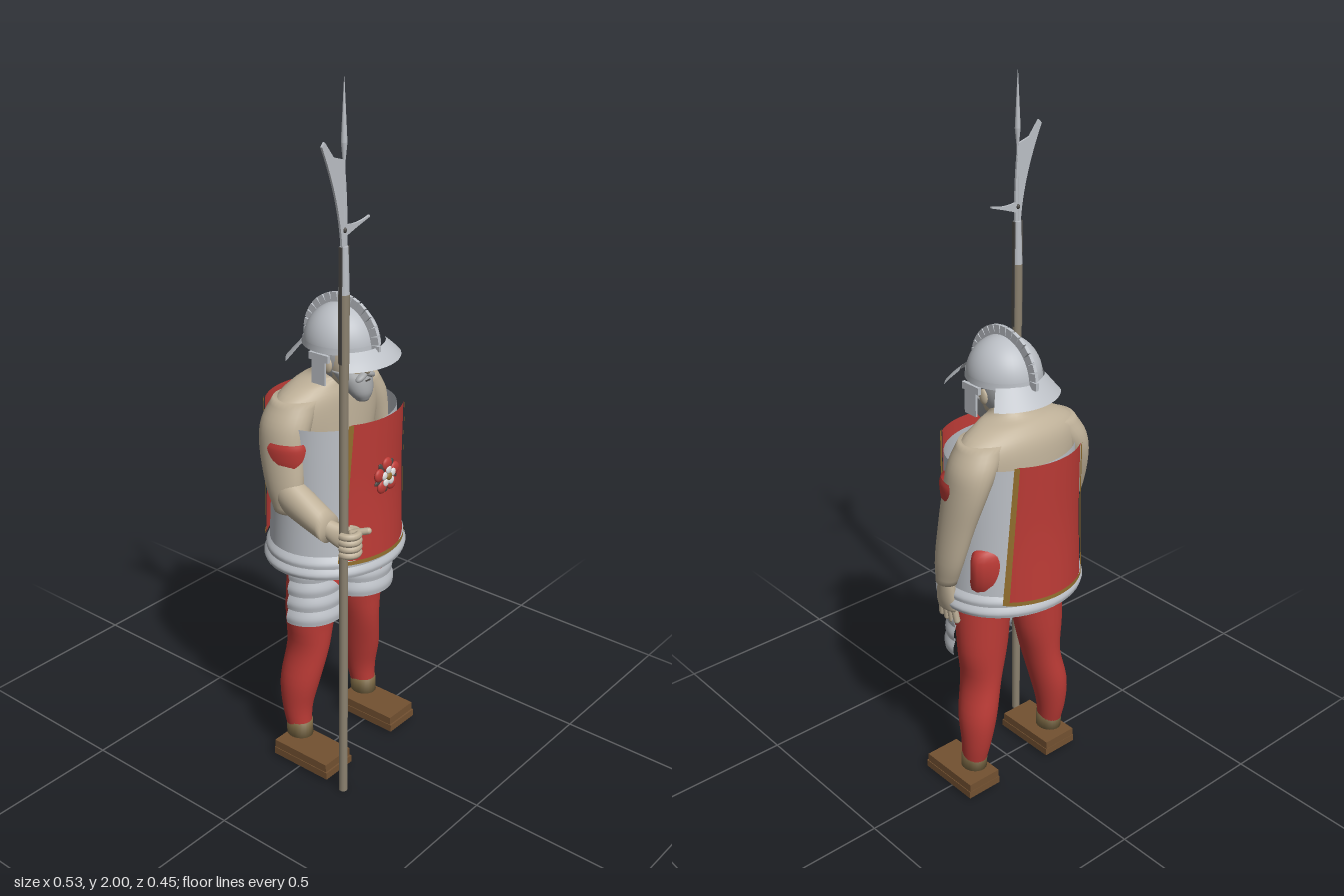
import * as THREE from 'three';

const mat = (name, color, side = THREE.FrontSide) => {
  const m = new THREE.MeshStandardMaterial({ color, side });
  m.name = name;
  return m;
};
const CX = 0.015; // body centre line
const V = (x, y, z) => new THREE.Vector3(x, y, z);

// Skin through elliptical sections [x, y, z, rx, rz, halfAngle], rising in y.
// With arc = [mid, lo, hi] it becomes an open curved plate.
function loft(sections, { arc = null, smooth = 4, cap = !arc, seg = 28 } = {}) {
  let rows = sections.map((s) => [s[0], s[1], s[2], s[3], s[4], s[5] ?? Math.PI]);
  if (smooth > 1) {
    const p = new THREE.CatmullRomCurve3(rows.map((s) => V(s[0], s[1], s[2])), false, 'catmullrom');
    const r = new THREE.CatmullRomCurve3(rows.map((s) => V(s[3], s[4], s[5])), false, 'catmullrom');
    const n = (rows.length - 1) * smooth;
    rows = Array.from({ length: n + 1 }, (_, i) => [...p.getPoint(i / n), ...r.getPoint(i / n)]);
  }
  if (cap) {
    const f = rows[0], l = rows[rows.length - 1];
    rows = [[f[0], f[1], f[2], 1e-4, 1e-4, f[5]], ...rows, [l[0], l[1], l[2], 1e-4, 1e-4, l[5]]];
  }
  const w = arc ? seg + 1 : seg, pos = [], idx = [];
  rows.forEach(([x, y, z, rx, rz, h], i) => {
    for (let j = 0; j < w; j++) {
      const t = j / seg;
      const a = arc ? arc[0] + h * (arc[1] + (arc[2] - arc[1]) * t) : t * Math.PI * 2;
      pos.push(x + Math.cos(a) * rx, y, z + Math.sin(a) * rz);
      if (i === rows.length - 1 || j === seg) continue;
      const k = arc ? j + 1 : (j + 1) % seg;
      const A = i * w + j, B = i * w + k;
      idx.push(A, A + w, B, B, A + w, B + w);
    }
  });
  const g = new THREE.BufferGeometry();
  g.setAttribute('position', new THREE.Float32BufferAttribute(pos, 3));
  g.setIndex(idx);
  g.computeVertexNormals();
  return g;
}

export function createModel() {
  const D = THREE.DoubleSide;
  const skin = mat('skin', 0xbfb199), steel = mat('steel', 0xbcc0c6, D), red = mat('red cloth', 0xbc3b36, D);
  const leather = mat('brown leather', 0x735131), gold = mat('gold trim', 0x94702e, D), wood = mat('wood', 0x8c8270);
  const olive = mat('olive cuff', 0x7d6a45), hair = mat('grey hair', 0xa2a4a6);
  const dark = mat('dark', 0x4a4845), white = mat('white', 0xdedede);
  const root = new THREE.Group();
  const add = (name, geo, m, p = [0, 0, 0], s = [1, 1, 1], r = [0, 0, 0]) => {
    const o = new THREE.Mesh(geo, m);
    o.name = name;
    o.position.set(...p); o.scale.set(...s); o.rotation.set(...r);
    root.add(o);
    return o;
  };
  const ball = new THREE.SphereGeometry(1, 24, 16);
  const box = new THREE.BoxGeometry(1, 1, 1);
  const F = Math.PI / 2, B = -Math.PI / 2;

  // Bare shoulders, neck and hips
  add('torso', loft([[CX, 0.78, -0.05, 0.14, 0.1], [CX, 0.95, -0.06, 0.165, 0.1], [CX, 1.06, -0.062, 0.2, 0.095],
    [CX, 1.12, -0.06, 0.19, 0.087], [CX, 1.155, -0.053, 0.13, 0.07], [CX, 1.172, -0.04, 0.068, 0.057],
    [CX, 1.2, -0.025, 0.05, 0.05]]), skin);
  add('hips', loft([[CX, 0.6, -0.05, 0.1, 0.06], [CX + 0.008, 0.68, -0.075, 0.165, 0.075], [CX + 0.017, 0.75, -0.1, 0.178, 0.062],
    [CX + 0.017, 0.82, -0.102, 0.175, 0.058], [CX + 0.01, 0.853, -0.09, 0.13, 0.05]]), red);

  // Legs, cuffs, shoes and thigh guards
  for (const s of [-1, 1]) {
    const side = s > 0 ? 'left' : 'right', X = (d) => CX + s * d;
    add(side + 'Leg', loft([[X(0.148), 0.09, -0.04, 0.032, 0.036], [X(0.146), 0.17, -0.05, 0.042, 0.046],
      [X(0.137), 0.26, -0.046, 0.052, 0.061], [X(0.114), 0.37, -0.034, 0.054, 0.066], [X(0.105), 0.48, -0.032, 0.074, 0.07],
      [X(0.094), 0.61, -0.024, 0.076, 0.082], [X(0.08), 0.68, -0.045, 0.06, 0.07]]), red);
    add(side + 'Cuff', loft([[X(0.148), 0.078, -0.04, 0.036, 0.04], [X(0.147), 0.125, -0.042, 0.036, 0.04]], { smooth: 1 }), olive);
    add(side + 'Sole', box, leather, [X(0.15), 0.02, 0.01], [0.112, 0.022, 0.2]);
    add(side + 'Shoe', box, leather, [X(0.15), 0.042, 0.008], [0.108, 0.026, 0.194]);
    for (let k = 0; k < 4; k++) {
      const y = 0.48 + k * 0.044, r = 0.1 - k * 0.003;
      add(side + 'ThighGuard', loft([[X(0.108), y, -0.022, r, r - 0.01, F], [X(0.108), y + 0.022, -0.022, r + 0.002, r - 0.008, F],
        [X(0.108), y + 0.05, -0.022, r - 0.008, r - 0.018, F]], { arc: [F, -1.06, 1.06] }), steel);
    }
    // Ragged cloth patch over the upper thigh guard
    add(side + 'ThighCloth', loft([[X(0.085), 0.565, -0.02, 0.09, 0.094, 0.05], [X(0.085), 0.6, -0.02, 0.094, 0.094, 0.28],
      [X(0.078), 0.625, -0.02, 0.094, 0.092, 0.6], [X(0.074), 0.65, -0.02, 0.094, 0.09, 0.65]], { arc: [F, -1, 1] }), red);
  }

  // Steel cuirass with an inner ledge and a flared double hem
  add('cuirass', loft([[CX, 0.66, -0.03, 0.202, 0.172], [CX, 0.85, -0.03, 0.194, 0.163], [CX, 1.07, -0.03, 0.192, 0.155]],
    { cap: false, seg: 48 }), steel);
  add('cuirassLedge', loft([[CX, 0.86, -0.03, 0.193, 0.162], [CX, 0.9, -0.05, 0.14, 0.09]], { cap: false, smooth: 1, seg: 48 }), steel);
  add('lowerHem', loft([[CX, 0.64, -0.028, 0.216, 0.184], [CX, 0.655, -0.028, 0.22, 0.186], [CX, 0.678, -0.028, 0.204, 0.174]],
    { cap: false, seg: 48 }), steel);
  add('upperHem', loft([[CX, 0.67, -0.028, 0.212, 0.18], [CX, 0.685, -0.028, 0.212, 0.18], [CX, 0.705, -0.028, 0.196, 0.167]],
    { cap: false, seg: 48 }), steel);

  // Red front and back plates edged in gold
  for (const [name, mid, rz] of [['front', F, 0.184], ['back', B, 0.19]]) {
    const rows = (d) => [[CX, 0.68, -0.03, 0.2 + d, rz + d, 0.75], [CX, 0.88, -0.03, 0.197 + d, rz - 0.006 + d, 0.67],
      [CX, 1.09, -0.03, 0.193 + d, rz + d, 0.62]];
    add(name + 'Plate', loft(rows(0), { arc: [mid, -1, 1] }), red);
    for (const e of [-1, 1]) {
      add(name + 'PlateTrim', loft(rows(0.004), { arc: [mid, e - 0.06, e + 0.06], seg: 4 }), gold);
    }
    add(name + 'PlateHem', loft([[CX, 0.678, -0.03, 0.204, rz + 0.004, 0.75], [CX, 0.69, -0.03, 0.204, rz + 0.004, 0.75]],
      { arc: [mid, -1, 1], smooth: 1 }), gold);
  }

  // Flower boss on the chest
  for (let i = 0; i < 5; i++) {
    const a = F + i * Math.PI * 0.4, c = Math.cos(a), s = Math.sin(a);
    add('flowerLeaf', ball, dark, [CX - c * 0.03, 0.915 - s * 0.03, 0.149], [0.009, 0.02, 0.005], [0, 0, a + F]);
    add('flowerPetal', ball, red, [CX + c * 0.034, 0.915 + s * 0.034, 0.152], [0.019, 0.019, 0.009]);
    add('innerPetal', ball, white, [CX + c * 0.019, 0.915 + s * 0.019, 0.159], [0.0115, 0.0115, 0.005]);
  }
  add('flowerCentre', ball, gold, [CX, 0.915, 0.161], [0.011, 0.011, 0.006]);

  // Hanging left arm and hand
  add('leftArm', loft([[0.229, 0.715, -0.012, 0.027, 0.033], [0.23, 0.79, -0.028, 0.032, 0.048], [0.216, 0.9, -0.045, 0.04, 0.06],
    [0.197, 1.0, -0.06, 0.05, 0.072], [0.173, 1.07, -0.064, 0.062, 0.075], [0.135, 1.13, -0.06, 0.065, 0.065]]), skin);
  add('leftHand', loft([[0.22, 0.625, -0.003, 0.014, 0.036], [0.224, 0.66, -0.005, 0.018, 0.037], [0.229, 0.725, -0.012, 0.02, 0.026]]), skin);
  const finger = new THREE.CapsuleGeometry(0.0095, 0.045, 4, 10);
  for (let i = 0; i < 4; i++) {
    add('leftFinger', finger, skin, [0.216, 0.608 + Math.abs(i - 1.5) * 0.005, 0.025 - i * 0.019], [1, 1, 1], [(1.5 - i) * -0.08, 0, -0.12]);
  }
  add('leftThumb', finger, skin, [0.205, 0.655, 0.03], [1, 1, 1], [-0.4, 0, -0.3]);

  // Right arm bent forward, hand closed round the shaft
  add('rightUpperArm', loft([[-0.183, 0.83, -0.03, 0.034, 0.04], [-0.183, 0.9, -0.04, 0.04, 0.06],
    [-0.166, 1.0, -0.06, 0.05, 0.072], [-0.143, 1.07, -0.064, 0.062, 0.075], [-0.105, 1.13, -0.06, 0.065, 0.065]]), skin);
  add('rightForearm', loft([[-0.183, -0.06, -0.89, 0.028, 0.045], [-0.184, -0.02, -0.88, 0.04, 0.058],
    [-0.184, 0.05, -0.85, 0.041, 0.05], [-0.182, 0.115, -0.82, 0.04, 0.04]]), skin, [0, 0, 0], [1, 1, 1], [F, 0, 0]);
  add('rightHand', loft([[-0.18, 0.1, -0.82, 0.022, 0.026], [-0.168, 0.14, -0.8, 0.022, 0.034],
    [-0.155, 0.175, -0.795, 0.015, 0.036]]), skin, [0, 0, 0], [1, 1, 1], [F, 0, 0]);
  const grip = new THREE.TorusGeometry(0.026, 0.0105, 8, 16, Math.PI * 1.25);
  for (let i = 0; i < 4; i++) add('rightFinger', grip, skin, [-0.172, 0.768 + i * 0.018, 0.174], [1, 1, 1], [F, 0, -0.6]);
  add('rightThumb', finger, skin, [-0.152, 0.825, 0.195], [1, 1, 1], [1.3, 0, -0.5]);

  // Torn red cloth showing at the front of the upper arms
  for (const s of [-1, 1]) {
    add('armCloth', loft([[CX + s * 0.182, 0.965, -0.06, 0.05, 0.08, 0.2], [CX + s * 0.182, 0.985, -0.06, 0.054, 0.083, 0.6],
      [CX + s * 0.182, 1.015, -0.06, 0.056, 0.084, 0.8], [CX + s * 0.18, 1.032, -0.06, 0.054, 0.08, 0.7]],
    { arc: [s > 0 ? 0.75 : Math.PI - 0.75, -1, 1], smooth: 3 }), red);
  }

  // Head, hair, beard and features
  add('head', ball, skin, [CX, 1.225, 0.012], [0.06, 0.088, 0.068]);
  add('hair', ball, hair, [CX, 1.232, -0.01], [0.066, 0.085, 0.068]);
  add('beard', loft([[CX, 1.115, 0.066, 0.018, 0.018], [CX, 1.14, 0.058, 0.037, 0.034], [CX, 1.175, 0.038, 0.052, 0.047],
    [CX, 1.2, 0.02, 0.06, 0.05]]), hair);
  add('nose', ball, skin, [CX, 1.212, 0.08], [0.011, 0.022, 0.015]);
  add('mouth', box, dark, [CX, 1.174, 0.083], [0.018, 0.004, 0.006]);
  for (const s of [-1, 1]) {
    add('moustache', ball, hair, [CX + s * 0.017, 1.186, 0.076], [0.022, 0.009, 0.012], [0, 0, -s * 0.4]);
    add('eye', ball, dark, [CX + s * 0.022, 1.23, 0.072], [0.009, 0.005, 0.005]);
    add('eyebrow', ball, hair, [CX + s * 0.023, 1.243, 0.073], [0.018, 0.005, 0.007], [0, 0, s * 0.15]);
    add('ear', ball, skin, [CX + s * 0.066, 1.215, 0.0], [0.008, 0.022, 0.015]);
  }

  // Helmet: bowl, band, crest, visor, neck guard and cheek plates
  add('helmetBowl', new THREE.SphereGeometry(1, 40, 16, 0, Math.PI * 2, 0, F), steel, [CX, 1.265, -0.006], [0.1, 0.108, 0.105]);
  add('helmetBand', loft([[CX, 1.26, -0.006, 0.102, 0.107], [CX, 1.278, -0.006, 0.101, 0.106]], { smooth: 1, cap: false, seg: 40 }), steel);
  for (let i = 0; i <= 16; i++) {
    const a = (i / 16) * Math.PI;
    add('crestBlock', box, steel, [CX, 1.267 + Math.sin(a) * 0.117, -0.006 + Math.cos(a) * 0.116], [0.01, 0.021, 0.028], [Math.PI - a, 0, 0]);
  }
  add('visor', loft([[CX, 1.232, 0, 0.155, 0.155, 0.86], [CX, 1.25, 0, 0.138, 0.138, 0.86], [CX, 1.272, 0, 0.113, 0.113, 0.86]],
    { arc: [F, -1, 1] }), steel);
  add('neckGuard', loft([[CX, 1.217, 0, 0.155, 0.155, 0.86], [CX, 1.24, 0, 0.135, 0.135, 0.87], [CX, 1.268, 0, 0.111, 0.111, 0.88]],
    { arc: [B, -1, 1] }), steel);
  for (const s of [-1, 1]) {
    add('cheekHinge', box, steel, [CX + s * 0.104, 1.25, 0.004], [0.01, 0.02, 0.066]);
    add('cheekPlate', box, steel, [CX + s * 0.106, 1.21, 0.004], [0.006, 0.07, 0.045]);
  }

  // Polearm: shaft, socket, spike, blade and hook
  const PX = -0.183, PZ = 0.165;
  const rod = (name, y0, y1, rTop, rBot, m) =>
    add(name, new THREE.CylinderGeometry(rTop, rBot, y1 - y0, 12), m, [PX, (y0 + y1) / 2, PZ]);
  rod('shaft', 0, 1.32, 0.0125, 0.0125, wood);
  rod('upperShaft', 1.3, 1.48, 0.0145, 0.0145, wood);
  rod('socket', 1.48, 1.6, 0.011, 0.0145, steel);
  for (const s of [-1, 1]) add('langet', box, dark, [PX + s * 0.0135, 1.45, PZ], [0.004, 0.3, 0.01]);
  rod('spikeNeck', 1.6, 1.82, 0.003, 0.004, steel);
  rod('spikeBase', 1.81, 1.85, 0.008, 0.004, steel);
  rod('spike', 1.85, 2.0, 0.0006, 0.008, steel);
  add('collar', ball, dark, [PX, 1.64, PZ], [0.006, 0.008, 0.008]);
  const blade = new THREE.Shape();
  blade.moveTo(-0.193, 1.6);
  blade.quadraticCurveTo(-0.202, 1.715, -0.266, 1.852);
  blade.lineTo(-0.256, 1.862);
  blade.lineTo(-0.224, 1.822);
  blade.lineTo(-0.185, 1.81);
  blade.quadraticCurveTo(-0.172, 1.72, -0.173, 1.6);
  const hook = new THREE.Shape();
  hook.moveTo(-0.183, 1.655);
  hook.quadraticCurveTo(-0.14, 1.642, -0.088, 1.658);
  hook.lineTo(-0.088, 1.653);
  hook.quadraticCurveTo(-0.14, 1.638, -0.183, 1.622);
  for (const [name, shape] of [['blade', blade], ['hook', hook]]) {
    add(name, new THREE.ExtrudeGeometry(shape, { depth: 0.006, bevelEnabled: false }), steel, [0, 0, PZ - 0.003]);
  }
  return root;
}
